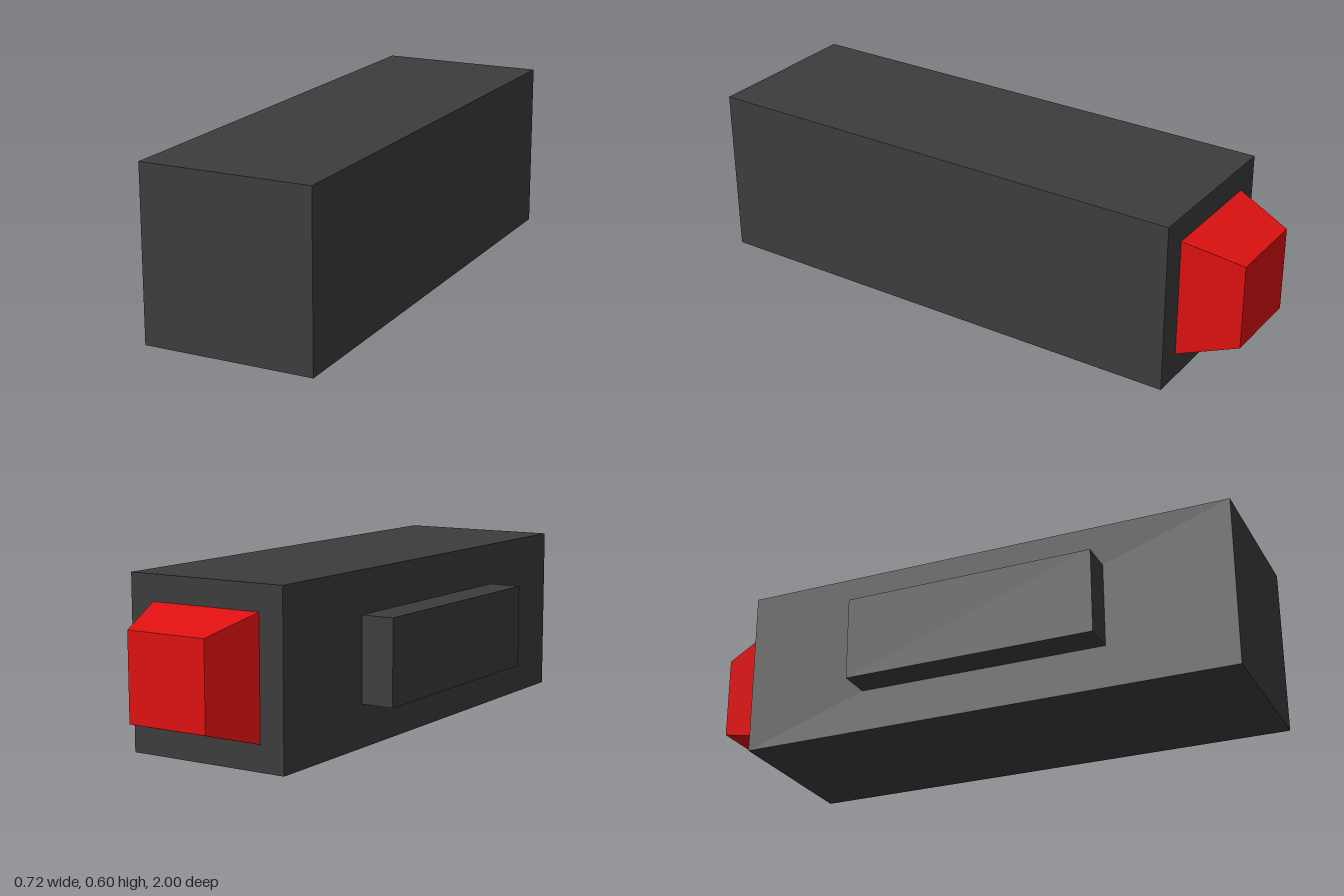
import * as THREE from 'three';

const darkGrey = new THREE.MeshStandardMaterial({ name: 'dark grey', color: 0x3c3c3c });
const red = new THREE.MeshStandardMaterial({ name: 'red', color: 0xdd1010 });

// Box mesh spanning two opposite corners
function boxBetween(name, material, min, max) {
  const [w, h, d] = max.map((v, i) => v - min[i]);
  const mesh = new THREE.Mesh(new THREE.BoxGeometry(w, h, d), material);
  mesh.position.set(...max.map((v, i) => (v + min[i]) / 2));
  mesh.name = name;
  return mesh;
}

export function createModel() {
  const group = new THREE.Group();
  group.name = 'model';

  // Long square body
  group.add(boxBetween('body', darkGrey, [-0.24, 0, -0.8], [0.36, 0.6, 1]));

  // Raised block on the right side
  group.add(boxBetween('sideBlock', darkGrey, [-0.36, 0.15, -0.35], [-0.24, 0.45, 0.55]));

  // Rear cap, narrowing towards the back
  const cap = boxBetween('rearCap', red, [-0.15, 0.09, -1], [0.27, 0.51, -0.8]);
  const pos = cap.geometry.attributes.position;
  const taper = 0.3 / 0.42;
  for (let i = 0; i < pos.count; i++) {
    if (pos.getZ(i) < 0) pos.setXY(i, pos.getX(i) * taper, pos.getY(i) * taper);
  }
  cap.geometry.computeVertexNormals();
  group.add(cap);

  return group;
}
